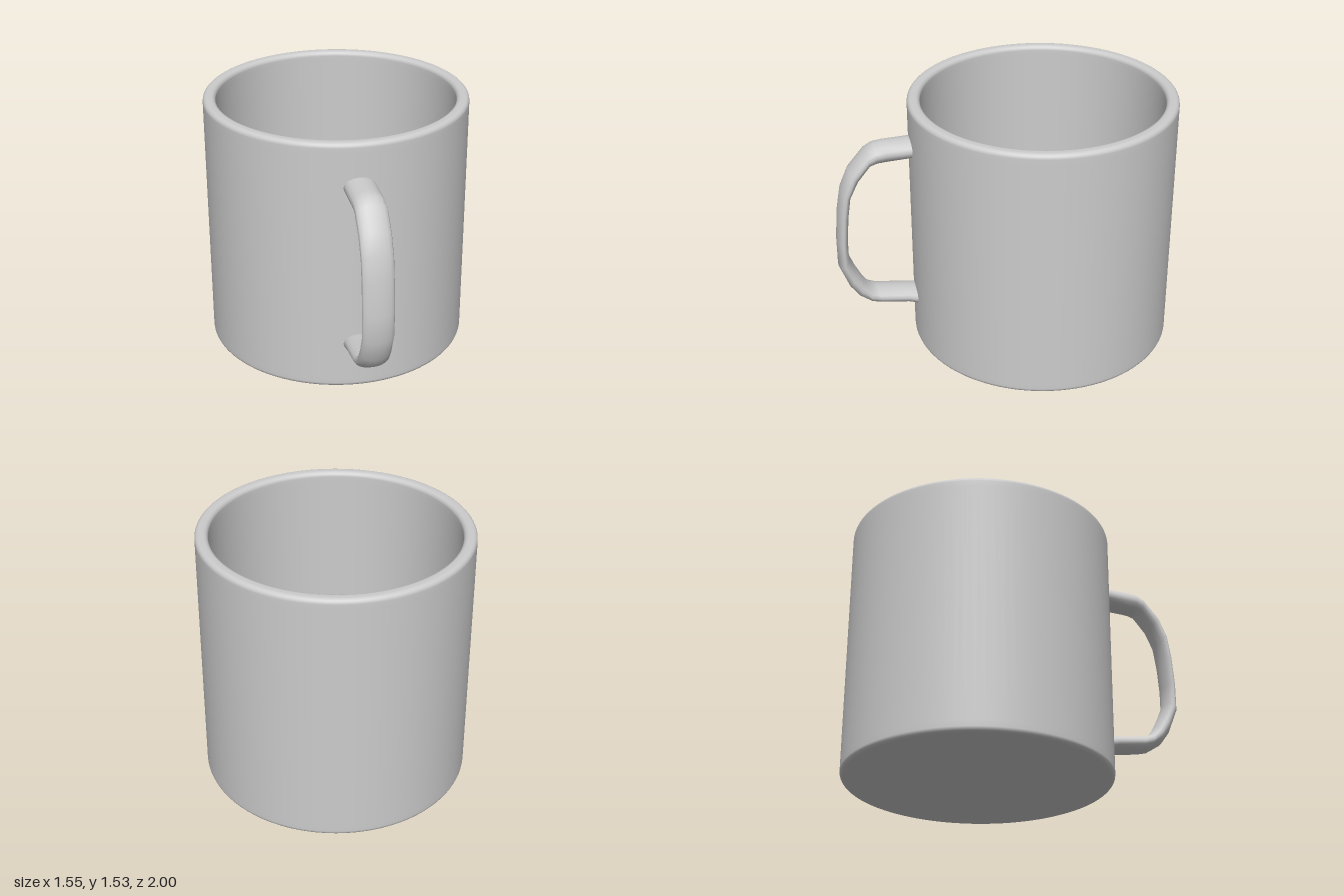
import * as THREE from 'three';

const material = new THREE.MeshStandardMaterial({ color: 0xcccccc, side: THREE.DoubleSide });
const RADIUS = 0.775, INNER = 0.7, HEIGHT = 1.535, FLOOR = 0.03, CENTER_Z = -0.225;

// Points of a rounded corner, angles in units of 90 degrees
function corner(cx, cy, r, from, to, steps = 6) {
  return Array.from({ length: steps + 1 }, (_, i) => {
    const a = (from + (to - from) * i / steps) * Math.PI / 2;
    return new THREE.Vector2(cx + r * Math.cos(a), cy + r * Math.sin(a));
  });
}

// Hollow body: underside, outer wall, rounded rim, inner wall and floor
function makeBody() {
  const r = 0.028, f = 0.02;
  const p = (x, y) => new THREE.Vector2(x, y);
  const profile = [
    p(0, 0), p(RADIUS - 2 * r, 0),
    ...corner(RADIUS - r, r, r, -1, 0),
    p(RADIUS, 2 * r), p(RADIUS, HEIGHT - 2 * r),
    ...corner(RADIUS - r, HEIGHT - r, r, 0, 1),
    ...corner(INNER + r, HEIGHT - r, r, 1, 2),
    p(INNER, HEIGHT - 2 * r), p(INNER, FLOOR + 2 * f),
    ...corner(INNER - f, FLOOR + f, f, 0, -1),
    p(INNER - 2 * f, FLOOR), p(0, FLOOR),
  ];
  const body = new THREE.Mesh(new THREE.LatheGeometry(profile, 96), material);
  body.name = 'cupBody';
  body.position.z = CENTER_Z;
  return body;
}

// Handle: oval cross-sections spanning outer and inner edge points [z, y]
function makeHandle() {
  const sections = [
    [0.5, 1.337, 0.5, 1.22], [0.705, 1.333, 0.69, 1.213],
    [0.76, 1.325, 0.745, 1.21], [0.81, 1.295, 0.785, 1.2],
    [0.91, 1.18, 0.855, 1.115], [0.96, 1.06, 0.905, 1.015],
    [0.985, 0.92, 0.925, 0.88], [1.0, 0.73, 0.937, 0.73],
    [1.0, 0.56, 0.937, 0.62], [0.945, 0.42, 0.9, 0.53],
    [0.895, 0.35, 0.865, 0.46], [0.82, 0.3, 0.83, 0.405],
    [0.76, 0.285, 0.78, 0.383], [0.6, 0.26, 0.6, 0.36],
    [0.5, 0.223, 0.5, 0.345],
  ];
  const sides = 16, halfWidth = 0.09, centerX = -0.046;
  const positions = [], index = [];
  sections.forEach(([oz, oy, iz, iy], s) => {
    for (let k = 0; k < sides; k++) {
      const a = k / sides * Math.PI * 2;
      const t = Math.cos(a) / 2;
      positions.push(centerX + halfWidth * Math.sin(a),
        (oy + iy) / 2 + (oy - iy) * t, (oz + iz) / 2 + (oz - iz) * t);
      if (s < sections.length - 1) {
        const n = (k + 1) % sides, b = s * sides, c = b + sides;
        index.push(b + k, c + k, b + n, b + n, c + k, c + n);
      }
    }
  });
  const geometry = new THREE.BufferGeometry();
  geometry.setAttribute('position', new THREE.Float32BufferAttribute(positions, 3));
  geometry.setIndex(index);
  geometry.computeVertexNormals();
  const handle = new THREE.Mesh(geometry, material);
  handle.name = 'handle';
  return handle;
}

export function createModel() {
  const mug = new THREE.Group();
  mug.name = 'mug';
  mug.add(makeBody(), makeHandle());
  return mug;
}
